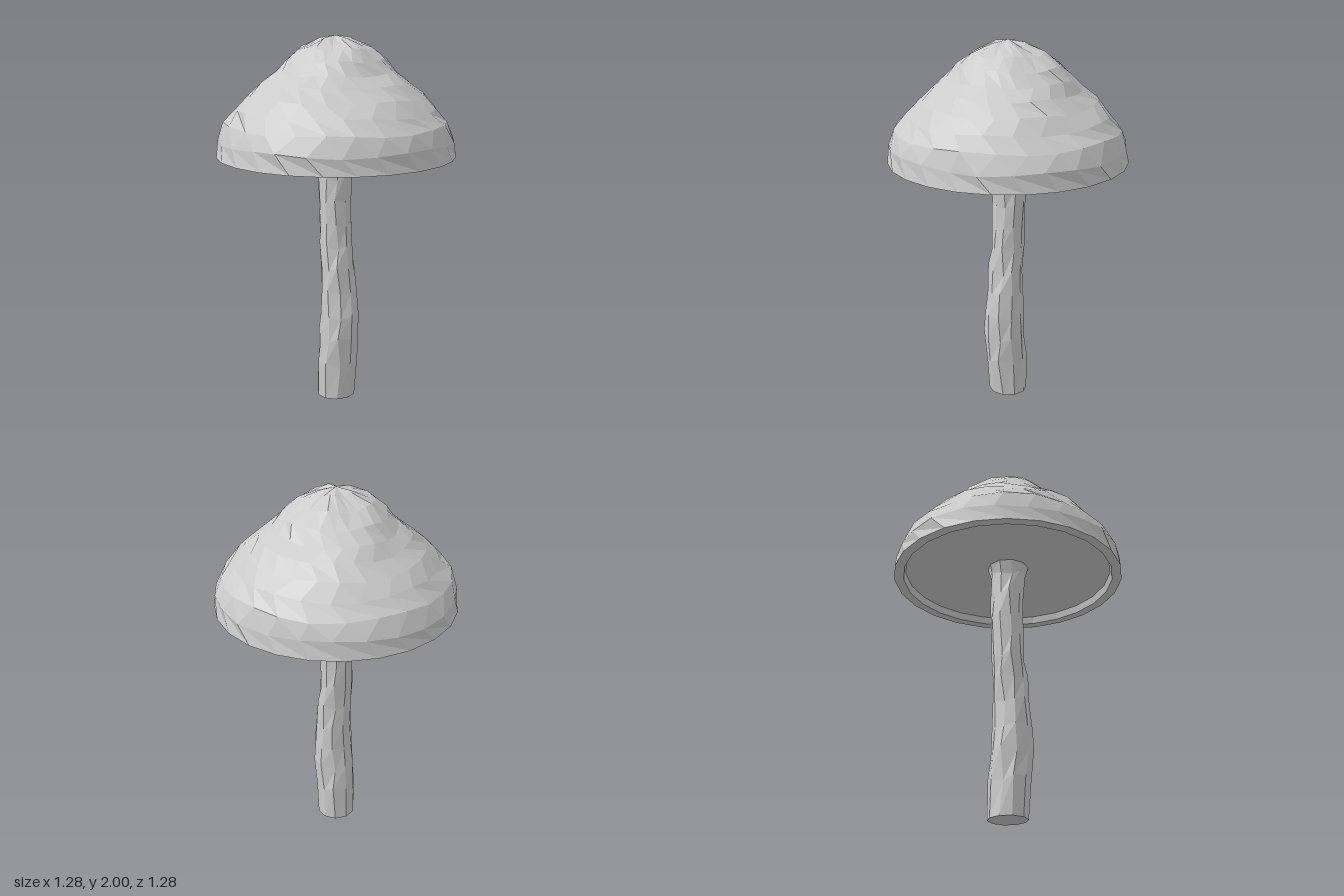
import * as THREE from 'three';

const material = new THREE.MeshStandardMaterial({ color: 0xcccccc, flatShading: true });

// Smooth, repeatable wobble by direction and height, in -1..1
const wobble = (a, y) =>
  0.5 * Math.sin(3 * a + 17 * y) + 0.3 * Math.sin(7 * a - 29 * y) + 0.2 * Math.sin(11 * a + 41 * y);

// Cap: hollow underside, thin rim and a domed knob on top
function createCap() {
  const profile = [
    [0, 1.44], [0.3, 1.43], [0.575, 1.41], [0.585, 1.37], [0.638, 1.37],
    [0.628, 1.46], [0.593, 1.55], [0.53, 1.62], [0.465, 1.69], [0.39, 1.755],
    [0.315, 1.812], [0.26, 1.875], [0.19, 1.935], [0.085, 1.98], [0, 2],
  ].map(([r, y]) => new THREE.Vector2(r, y));
  const geometry = new THREE.LatheGeometry(profile, 24);
  const p = geometry.attributes.position;
  for (let i = 0; i < p.count; i++) {
    const ring = i % profile.length;
    let { x: r, y } = profile[ring];
    if (r === 0) continue;
    let a = Math.atan2(p.getZ(i), p.getX(i));
    if (ring > 4) {
      // uneven facets; the crease under the knob fades out towards the back right
      const w = wobble(a, y);
      const fade = Math.max(0, Math.cos(a + 2.35));
      const crease = ring === 10 ? 0.03 : ring === 11 ? 0.02 : 0;
      r += 0.009 * w + crease * fade;
      y += 0.008 * Math.sin(5 * a + 23 * y);
      a += (ring % 2) * 0.11 + 0.04 * w;
    }
    p.setXYZ(i, r * Math.cos(a), y, r * Math.sin(a));
  }
  const cap = new THREE.Mesh(geometry, material);
  cap.name = 'cap';
  return cap;
}

// Stem: stacked uneven rings following a bent centre line
function createStem() {
  // y, centre x, centre z, radius x, radius z
  const rings = [
    [0, 0, 0, 0.105, 0.107], [0.2, 0.012, 0, 0.113, 0.11],
    [0.35, 0.022, 0, 0.114, 0.112], [0.48, 0.028, -0.003, 0.108, 0.107],
    [0.62, 0.022, -0.004, 0.097, 0.1], [0.75, 0.014, 0, 0.093, 0.095],
    [0.88, 0.002, 0.002, 0.09, 0.09], [1.0, -0.003, 0.002, 0.088, 0.089],
    [1.12, -0.009, 0, 0.088, 0.092], [1.25, -0.004, -0.001, 0.091, 0.092],
    [1.37, 0.002, 0, 0.094, 0.094], [1.44, 0.002, 0, 0.115, 0.115],
  ];
  const sides = 10;
  const positions = [];
  const index = [];
  rings.forEach(([y, cx, cz, rx, rz], j) => {
    const inner = j > 0 && j < rings.length - 1;
    for (let i = 0; i < sides; i++) {
      const a = (i / sides) * Math.PI * 2;
      const w = inner ? wobble(a, y) : 0;
      const k = 1 + 0.06 * w;
      const t = a + 0.12 * w;
      positions.push(cx + rx * k * Math.cos(t), y + 0.025 * w, cz + rz * k * Math.sin(t));
      if (j === rings.length - 1) continue;
      const b = j * sides + i;
      const c = j * sides + ((i + 1) % sides);
      index.push(b, b + sides, c, c, b + sides, c + sides);
    }
  });
  // flat foot
  for (let i = 1; i < sides - 1; i++) index.push(0, i, i + 1);
  const geometry = new THREE.BufferGeometry();
  geometry.setAttribute('position', new THREE.Float32BufferAttribute(positions, 3));
  geometry.setIndex(index);
  geometry.computeVertexNormals();
  const stem = new THREE.Mesh(geometry, material);
  stem.name = 'stem';
  return stem;
}

export function createModel() {
  const group = new THREE.Group();
  group.name = 'mushroom';
  group.add(createCap(), createStem());
  return group;
}
